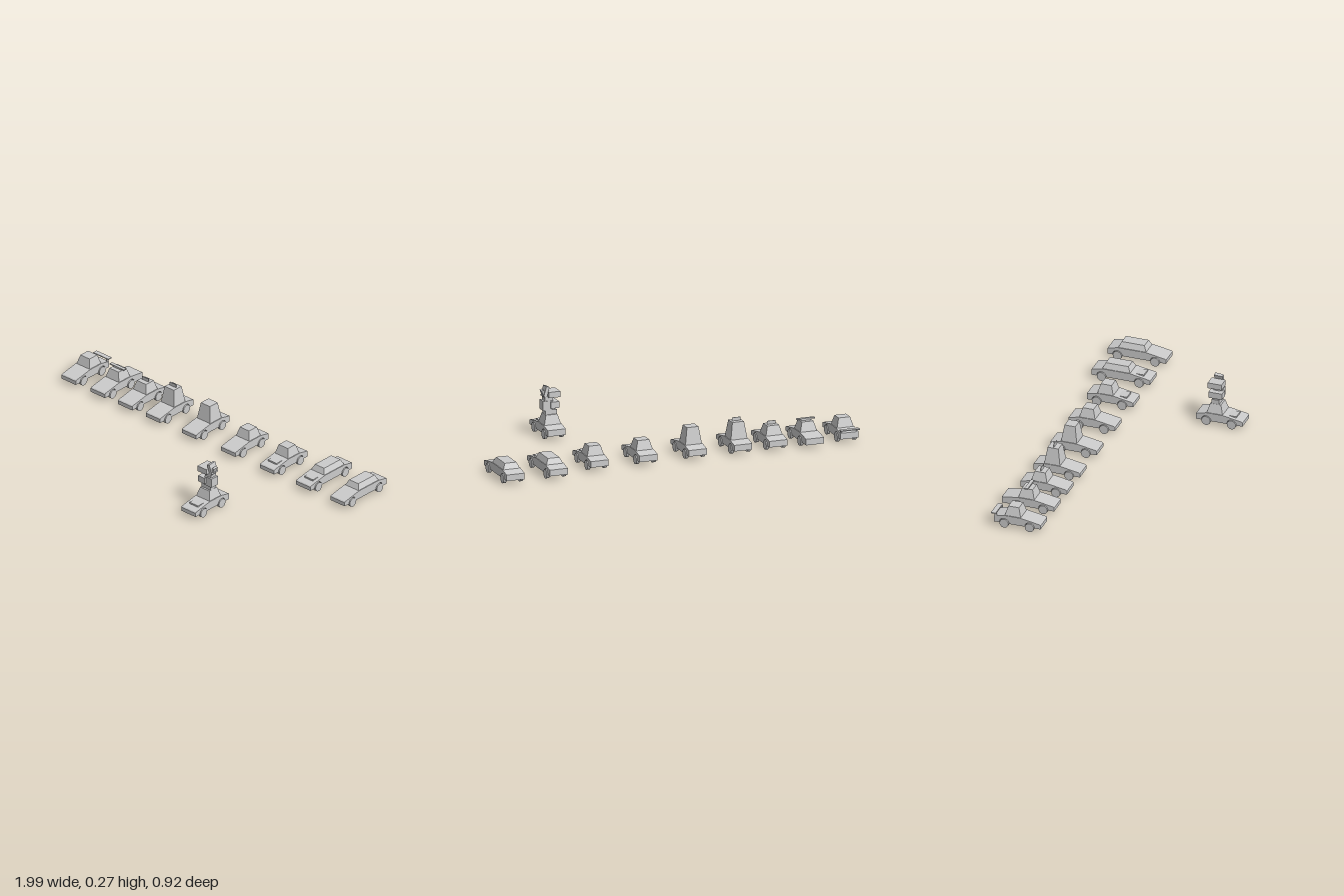
import * as THREE from 'three';

const mat = new THREE.MeshStandardMaterial({ color: 0xcccccc, flatShading: true });
const WHEEL_Y = 0.025;

function add(parent, name, geometry, x = 0, y = 0, z = 0) {
  const mesh = new THREE.Mesh(geometry, mat);
  mesh.name = name;
  mesh.position.set(x, y, z);
  parent.add(mesh);
  return mesh;
}

const box = (parent, name, w, h, d, x, y, z) =>
  add(parent, name, new THREE.BoxGeometry(w, h, d), x, y, z);

// Box whose top is narrower than its base
function frustum(w0, d0, w1, d1, h) {
  const g = new THREE.BoxGeometry(w0, h, d0);
  const p = g.attributes.position;
  for (let i = 0; i < p.count; i++) {
    if (p.getY(i) > 0) p.setXYZ(i, Math.sign(p.getX(i)) * w1 / 2, h / 2, Math.sign(p.getZ(i)) * d1 / 2);
  }
  g.computeVertexNormals();
  return g;
}

// Side profile with wheel arches, extruded across the car; the nose is at z = 0
function bodyGeometry(length, axles, cabinEnd) {
  const s = new THREE.Shape();
  s.moveTo(-length, WHEEL_Y);
  for (const z of [...axles].reverse()) {
    s.lineTo(z - 0.027, WHEEL_Y);
    s.absarc(z, WHEEL_Y, 0.027, Math.PI, 0, true);
  }
  s.lineTo(0, WHEEL_Y);
  s.lineTo(0, 0.046);
  s.lineTo(-0.005, 0.051);
  s.lineTo(-0.11, 0.07);
  s.lineTo(cabinEnd, 0.07);
  s.lineTo(-length, 0.058);
  const g = new THREE.ExtrudeGeometry(s, { depth: 0.1, bevelEnabled: false, curveSegments: 12 });
  g.translate(0, 0, -0.05);
  g.rotateY(-Math.PI / 2);
  return g;
}

function makeCar({ x, nose = -0.142, length = 0.255, rearAxle = -0.2, cabinEnd = -0.198, roof = 0.12, scoop, sign, lightBar, spoiler }) {
  const car = new THREE.Group();
  car.name = 'car';
  car.position.set(x, 0, nose);
  const axles = [-0.06, rearAxle];
  add(car, 'body', bodyGeometry(length, axles, cabinEnd));

  // Cabin tapering on all four sides
  const depth = -0.111 - cabinEnd;
  const mid = (-0.111 + cabinEnd) / 2;
  add(car, 'cabin', frustum(0.092, depth, 0.064, depth - 0.028, roof - 0.07), 0, (roof + 0.07) / 2, mid);

  // Wheels
  for (const z of axles) {
    for (const side of [-1, 1]) {
      const g = new THREE.CylinderGeometry(0.0245, 0.0245, 0.016, 20);
      g.rotateZ(Math.PI / 2);
      add(car, 'wheel', g, side * 0.0465, WHEEL_Y, z);
    }
  }

  // Optional fittings
  if (scoop) box(car, 'hoodScoop', 0.06, 0.012, 0.046, 0, 0.06, -0.064);
  if (sign) box(car, 'roofSign', 0.045, 0.018, 0.004, 0, roof + 0.009, mid);
  if (lightBar) {
    box(car, 'roofBarMount', 0.05, 0.007, 0.012, 0, roof + 0.0035, mid);
    box(car, 'roofBar', 0.1, 0.006, 0.018, 0, roof + 0.009, mid);
  }
  if (spoiler) {
    box(car, 'spoiler', 0.106, 0.005, 0.026, 0, 0.074, -length - 0.004);
    for (const side of [-1, 1]) box(car, 'spoilerPost', 0.006, 0.018, 0.012, side * 0.044, 0.064, -length + 0.007);
  }
  return car;
}

// Stacked launcher tower standing on a car roof
function makeTower() {
  const tower = new THREE.Group();
  tower.name = 'launcherTower';
  box(tower, 'towerBase', 0.062, 0.026, 0.042, 0, 0.131, 0);
  box(tower, 'lowerTurret', 0.05, 0.05, 0.05, 0.02, 0.168, 0.003);
  box(tower, 'lowerPods', 0.045, 0.034, 0.074, -0.017, 0.172, 0.002);
  box(tower, 'upperNeck', 0.045, 0.03, 0.038, 0.012, 0.202, 0);
  box(tower, 'upperPods', 0.062, 0.031, 0.076, -0.013, 0.229, 0);
  const panel = box(tower, 'tiltedPanel', 0.018, 0.056, 0.046, 0.026, 0.242, 0);
  panel.rotation.set(0.06, 0, 0.3);
  const brace = box(tower, 'panelBrace', 0.012, 0.045, 0.03, 0.037, 0.23, 0);
  brace.rotation.z = -0.35;
  return tower;
}

export function createModel() {
  const model = new THREE.Group();
  model.name = 'carCollection';
  const long = { length: 0.321, rearAxle: -0.267, cabinEnd: -0.264, roof: 0.1 };
  const row = [
    { x: -0.944, spoiler: true },
    { x: -0.74, length: 0.288, lightBar: true },
    { x: -0.548, sign: true },
    { x: -0.353, roof: 0.16, sign: true },
    { x: -0.1, roof: 0.16 },
    { x: 0.174 },
    { x: 0.446, scoop: true },
    { x: 0.7, ...long, scoop: true },
    { x: 0.94, ...long },
  ];
  for (const spec of row) model.add(makeCar(spec));

  // Lone car in front carrying the tower
  const lead = makeCar({ x: 0.446, nose: 0.461, scoop: true });
  const tower = makeTower();
  tower.position.z = -0.156;
  lead.add(tower);
  model.add(lead);
  return model;
}
